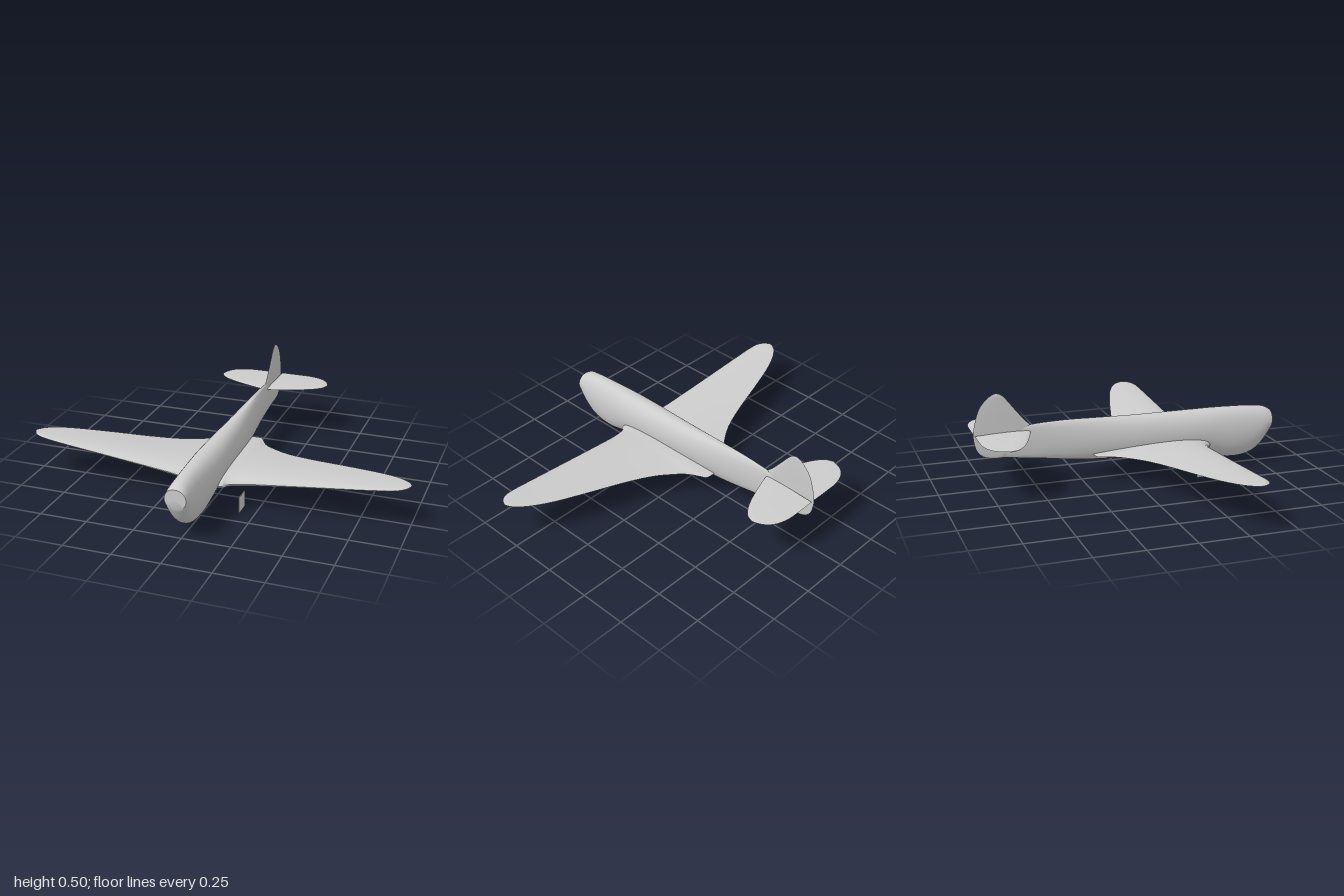
import * as THREE from 'three';
import { toCreasedNormals } from 'three/addons/utils/BufferGeometryUtils.js';

// Catmull-Rom refinement of table rows, so a few stations give a smooth shape
function refine(rows, steps) {
  const out = [];
  const at = (i) => rows[Math.min(Math.max(i, 0), rows.length - 1)];
  for (let i = 0; i < rows.length - 1; i++) {
    const [a, b, c, d] = [at(i - 1), at(i), at(i + 1), at(i + 2)];
    for (let s = 0; s < steps; s++) {
      const t = s / steps;
      out.push(b.map((p, k) => {
        const cubic = 3 * (p - c[k]) + d[k] - a[k];
        const square = 2 * a[k] - 5 * p + 4 * c[k] - d[k];
        return p + 0.5 * t * (c[k] - a[k] + t * (square + t * cubic));
      }));
    }
  }
  out.push(rows[rows.length - 1]);
  return out;
}

// Skin closed rings of [x, y, z] points, cap both ends and face outwards
function loft(rings, crease) {
  const n = rings[0].length;
  const points = rings.flat();
  const index = [];
  for (let r = 0; r < rings.length - 1; r++) {
    for (let i = 0; i < n; i++) {
      const a = r * n + i, b = r * n + (i + 1) % n;
      index.push(a, b, b + n, a, b + n, a + n);
    }
  }
  for (const r of [0, rings.length - 1]) {
    const centre = points.length;
    points.push([0, 1, 2].map((k) => rings[r].reduce((s, p) => s + p[k], 0) / n));
    for (let i = 0; i < n; i++) {
      const a = r * n + i, b = r * n + (i + 1) % n;
      index.push(centre, ...(r === 0 ? [b, a] : [a, b]));
    }
  }
  // A negative enclosed volume means the faces point inwards
  let volume = 0;
  const v = (i) => new THREE.Vector3(...points[i]);
  for (let i = 0; i < index.length; i += 3) {
    volume += v(index[i]).dot(v(index[i + 1]).cross(v(index[i + 2])));
  }
  if (volume < 0) index.reverse();
  const geometry = new THREE.BufferGeometry();
  geometry.setAttribute('position', new THREE.Float32BufferAttribute(points.flat(), 3));
  geometry.setIndex(index);
  return toCreasedNormals(geometry, crease);
}

// Teardrop section between two z values: pairs of [z, offset across the thickness]
function airfoil(lead, trail, thickness) {
  const n = 28;
  return Array.from({ length: n }, (_, i) => {
    const a = (i / n) * Math.PI * 2;
    const c = (1 - Math.cos(a)) / 2;
    const half = thickness * (1.4845 * Math.sqrt(c) - 0.63 * c - 1.758 * c * c
      + 1.4215 * c ** 3 - 0.518 * c ** 4);
    return [lead + (trail - lead) * c, Math.sign(Math.sin(a)) * half];
  });
}

export function createModel() {
  const model = new THREE.Group();
  const grey = new THREE.MeshStandardMaterial({ color: 0xcccccc });
  grey.name = 'airframe grey';
  const add = (name, geometry) => {
    const mesh = new THREE.Mesh(geometry, grey);
    mesh.name = name;
    model.add(mesh);
    return mesh;
  };

  // Fuselage: z, half width, bottom, top
  const hull = [
    [0.815, 0.055, 0.182, 0.285], [0.79, 0.06, 0.14, 0.3], [0.76, 0.064, 0.1, 0.307],
    [0.72, 0.068, 0.066, 0.312], [0.67, 0.071, 0.046, 0.316], [0.61, 0.074, 0.04, 0.318],
    [0.55, 0.076, 0.045, 0.32], [0.48, 0.078, 0.064, 0.321], [0.42, 0.079, 0.08, 0.321],
    [0.3, 0.077, 0.09, 0.321], [0.15, 0.07, 0.092, 0.321], [0, 0.061, 0.096, 0.322],
    [-0.2, 0.044, 0.106, 0.328], [-0.32, 0.032, 0.118, 0.331], [-0.44, 0.02, 0.135, 0.329],
    [-0.55, 0.011, 0.149, 0.32], [-0.69, 0.004, 0.165, 0.295],
  ];
  const hullRings = refine(hull, 3).map(([z, w, low, high]) =>
    Array.from({ length: 40 }, (_, i) => {
      const a = (i / 40) * Math.PI * 2;
      const x = Math.sign(Math.cos(a)) * Math.abs(Math.cos(a)) ** 0.9;
      return [w * x, (low + high) / 2 + ((high - low) / 2) * Math.sin(a), z];
    }));
  add('fuselage', loft(hullRings, 0.8));

  // Wing: x, leading edge, trailing edge, height, thickness
  const wingHalf = refine([
    [0.03, 0.445, -0.195, 0.142, 0.075], [0.085, 0.44, -0.193, 0.143, 0.075],
    [0.105, 0.418, -0.165, 0.145, 0.073], [0.14, 0.404, -0.105, 0.148, 0.07],
    [0.2, 0.395, -0.055, 0.154, 0.065], [0.3, 0.391, 0.005, 0.164, 0.056],
    [0.45, 0.387, 0.06, 0.179, 0.044], [0.63, 0.383, 0.112, 0.197, 0.032],
    [0.8, 0.379, 0.165, 0.214, 0.021], [0.9, 0.374, 0.207, 0.225, 0.015],
    [0.95, 0.364, 0.238, 0.23, 0.012], [0.98, 0.344, 0.265, 0.233, 0.009],
    [0.995, 0.32, 0.288, 0.234, 0.006], [1, 0.306, 0.302, 0.235, 0.003],
  ], 3);
  const wingRing = (side) => ([x, lead, trail, y, t]) =>
    airfoil(lead, trail, t).map(([z, o]) => [side * x, y + o, z]);
  const wingRings = [...[...wingHalf].reverse().map(wingRing(-1)), ...wingHalf.map(wingRing(1))];
  add('wing', loft(wingRings, 0.9));

  // Tailplane halves: x, leading edge, trailing edge, height, thickness
  const tailHalf = refine([
    [0.01, -0.52, -0.805, 0.291, 0.014], [0.05, -0.53, -0.806, 0.291, 0.014],
    [0.12, -0.554, -0.806, 0.291, 0.013], [0.18, -0.576, -0.804, 0.291, 0.012],
    [0.24, -0.604, -0.788, 0.291, 0.01], [0.28, -0.632, -0.759, 0.291, 0.008],
    [0.3, -0.655, -0.729, 0.291, 0.006], [0.312, -0.686, -0.694, 0.291, 0.003],
  ], 3);
  for (const [side, name] of [[1, 'leftTailplane'], [-1, 'rightTailplane']]) {
    add(name, loft(tailHalf.map(wingRing(side)), 0.9));
  }

  // Fin and rudder: y, leading edge, trailing edge, thickness
  const fin = refine([
    [0.162, -0.67, -0.7, 0.004], [0.168, -0.65, -0.742, 0.008], [0.185, -0.62, -0.775, 0.011],
    [0.22, -0.58, -0.8, 0.013], [0.28, -0.53, -0.812, 0.014], [0.32, -0.518, -0.809, 0.014],
    [0.35, -0.546, -0.803, 0.013], [0.4, -0.587, -0.789, 0.012], [0.44, -0.618, -0.77, 0.01],
    [0.475, -0.646, -0.738, 0.008], [0.492, -0.665, -0.714, 0.006], [0.5, -0.684, -0.694, 0.003],
  ], 3);
  add('fin', loft(fin.map(([y, lead, trail, t]) =>
    airfoil(lead, trail, t).map(([z, o]) => [o, y, z])), 0.9));

  // Undercarriage doors hanging below the wing
  for (const [side, name] of [[1, 'leftGearDoor'], [-1, 'rightGearDoor']]) {
    add(name, new THREE.BoxGeometry(0.004, 0.086, 0.09)).position.set(side * 0.172, 0.043, 0.375);
  }
  return model;
}
